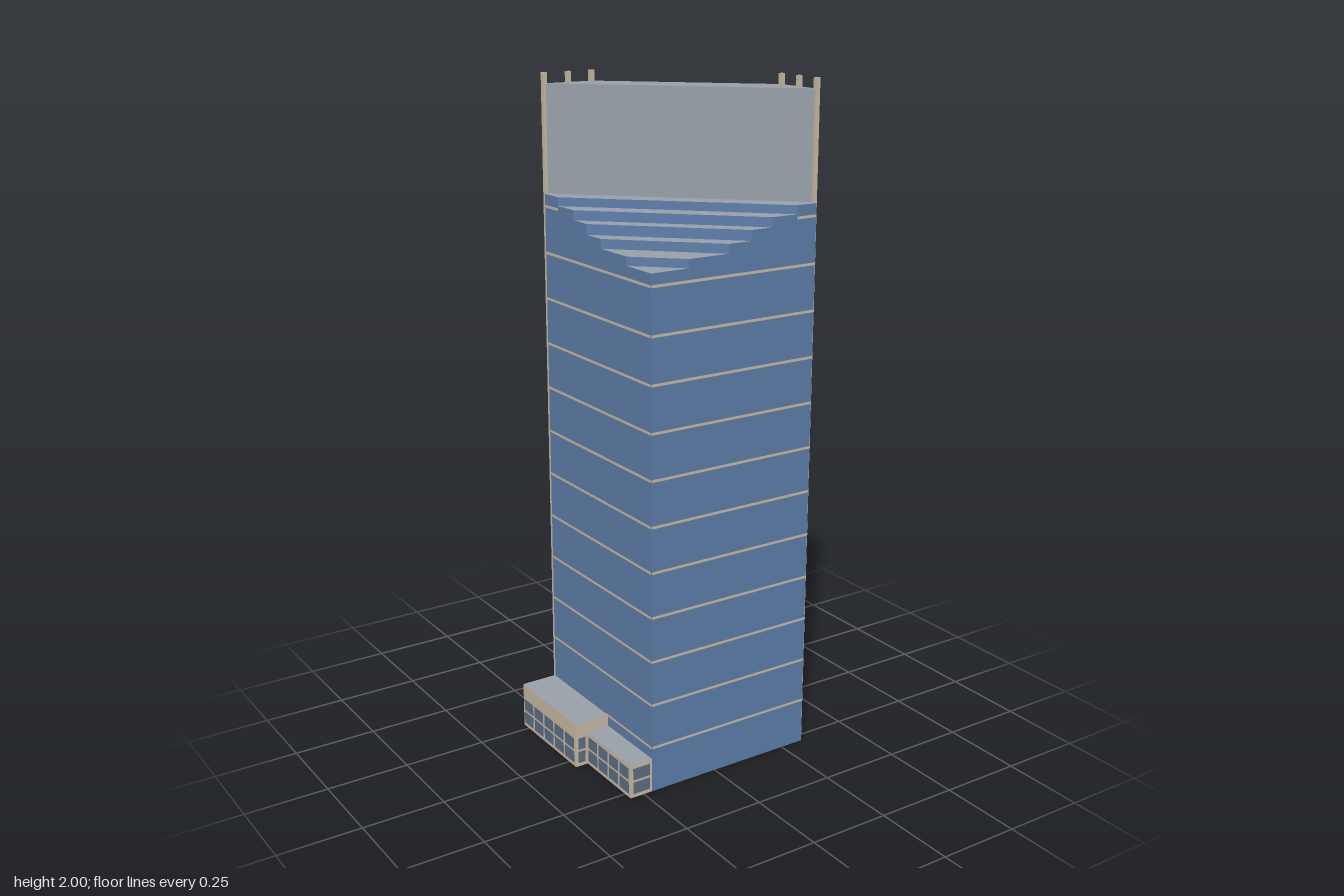
import * as THREE from 'three';

const mat = (name, color, side = THREE.DoubleSide) => {
  const m = new THREE.MeshStandardMaterial({ color, side });
  m.name = name;
  return m;
};

export function createModel() {
  const glass = mat('blue glass', 0x5f80ad);
  const grey = mat('roof grey', 0x9aa1aa);
  const beige = mat('beige stone', 0xcbbca5);
  const dark = mat('window slate', 0x5d6f88);
  const model = new THREE.Group();
  model.name = 'tower';

  // Flat faces are collected per part, then turned into one mesh each
  const parts = {};
  const face = (name, material, pts) => {
    const p = (parts[name] ??= { material, pos: [] }).pos;
    for (let i = 1; i < pts.length - 1; i++) p.push(...pts[0], ...pts[i], ...pts[i + 1]);
  };
  // Upright face over the ground line a-b, where a and b are [x, z]
  const wall = (name, material, a, b, y0, y1) =>
    face(name, material, [[a[0], y0, a[1]], [b[0], y0, b[1]], [b[0], y1, b[1]], [a[0], y1, a[1]]]);

  // Tower footprint, cut into diagonal strips by the value z - x
  const X0 = -0.222, X1 = 0.325, Z0 = -0.275, Z1 = 0.28;
  const cuts = [0.502, 0.382, 0.252, 0.177, 0.107, 0.022, -0.06, -0.215, -0.285, -0.35, -0.41, -0.475, -0.54, -0.6];
  const heights = [1.525, 1.55, 1.577, 1.607, 1.635, 1.66, 1.97, 1.83, 1.8, 1.718, 1.686, 1.606, 1.577];
  const SLAB = 6;
  const clip = (poly, dist) => {
    const out = [];
    poly.forEach((a, i) => {
      const b = poly[(i + 1) % poly.length], da = dist(a), db = dist(b);
      if (da >= 0) out.push(a);
      if (da * db < 0) {
        const t = da / (da - db);
        out.push([a[0] + (b[0] - a[0]) * t, a[1] + (b[1] - a[1]) * t]);
      }
    });
    return out;
  };
  const near = (u, v) => Math.abs(u - v) < 1e-5;

  heights.forEach((h, i) => {
    const slab = i === SLAB;
    let poly = [[X0, Z0], [X0, Z1], [X1, Z1], [X1, Z0]];
    poly = clip(poly, p => cuts[i] - (p[1] - p[0]));
    poly = clip(poly, p => p[1] - p[0] - cuts[i + 1]);
    face(slab ? 'crownTop' : 'roofSteps', grey, poly.map(p => [p[0], h, p[1]]));

    poly.forEach((a, k) => {
      const b = poly[(k + 1) % poly.length];
      const onX = near(a[0], b[0]), onZ = near(a[1], b[1]);
      if (onX || onZ) {
        // Outer wall; the left one starts above the annex roof
        const left = onX && near(a[0], X0);
        const y0 = left ? ((a[1] + b[1]) / 2 < 0.04 ? 0.14 : 0.105) : 0;
        wall(slab ? 'corePanels' : 'glassWalls', slab ? grey : glass, a, b, y0, h);
        if (slab) return;
        // Thin floor bands
        const dx = onX ? (left ? -0.0015 : 0.0015) : 0;
        const dz = onZ ? (near(a[1], Z0) ? -0.0015 : 0.0015) : 0;
        const off = p => [p[0] + dx, p[1] + dz];
        for (let y = 0.14; y < h - 0.01; y += 0.135)
          if (y > y0 + 0.005) wall('floorBands', beige, off(a), off(b), y - 0.004, y + 0.004);
      } else if (near(a[1] - a[0], cuts[i + 1]) && i < heights.length - 1) {
        // Diagonal riser up to the next strip
        const n = heights[i + 1], crown = slab || i + 1 === SLAB;
        wall(crown ? 'crownWalls' : 'stepRisers', crown ? grey : glass, a, b, Math.min(h, n), Math.max(h, n));
      }
    });
  });

  // Low annex on the left of the tower: walls, roofs and two rows of windows
  const windows = (a, b, n) => {
    const len = Math.hypot(b[0] - a[0], b[1] - a[1]);
    const ux = (b[0] - a[0]) / len, uz = (b[1] - a[1]) / len;
    const at = s => [a[0] + ux * s - uz * 0.0015, a[1] + uz * s + ux * 0.0015];
    const pitch = (len - 0.008) / n;
    for (let k = 0; k < n; k++)
      for (const y of [0.012, 0.056]) {
        const s = 0.004 + k * pitch;
        wall('annexWindows', dark, at(s + 0.004), at(s + pitch - 0.004), y, y + 0.037);
      }
  };
  const annex = (x, z0, z1, h) => {
    wall('annexWalls', beige, [X0, z0], [x, z0], 0, h);
    wall('annexWalls', beige, [x, z0], [x, z1], 0, h);
    face('annexRoof', grey, [[x, h, z0], [x, h, z1], [X0, h, z1], [X0, h, z0]]);
  };
  const BX = -0.335, FX = -0.295, ZB = -0.279, ZM = 0.04;
  annex(BX, ZB, ZM, 0.14);
  wall('annexWalls', beige, [BX, ZM], [FX, ZM], 0, 0.14);
  wall('annexWalls', beige, [FX, ZM], [X0, ZM], 0.105, 0.14);
  wall('annexWalls', beige, [FX, ZM], [FX, Z1], 0, 0.105);
  wall('annexWalls', beige, [FX, Z1], [X0, Z1], 0, 0.105);
  face('annexRoof', grey, [[FX, 0.105, ZM], [FX, 0.105, Z1], [X0, 0.105, Z1], [X0, 0.105, ZM]]);
  // Window lines run so that their outer side is on the right-hand normal
  windows([BX, ZM], [FX, ZM], 1);
  windows([FX, Z1], [X0, Z1], 1);
  windows([BX, ZB], [BX, ZM], 5);
  windows([FX, ZM], [FX, Z1], 4);
  windows([X0, ZB], [BX, ZB], 2);

  for (const [name, { material, pos }] of Object.entries(parts)) {
    const g = new THREE.BufferGeometry();
    g.setAttribute('position', new THREE.Float32BufferAttribute(pos, 3));
    g.computeVertexNormals();
    const m = new THREE.Mesh(g, material);
    m.name = name;
    model.add(m);
  }

  // Square masts beside the core panels, at the back and on the right
  const mast = new THREE.BoxGeometry(0.013, 2, 0.013);
  const masts = [-0.215, -0.137, -0.06].map(x => [x, -0.279])
    .concat([0.107, 0.185, 0.263].map(z => [0.328, z]));
  for (const [x, z] of masts) {
    const m = new THREE.Mesh(mast, beige);
    m.name = 'mast';
    m.position.set(x, 1, z);
    model.add(m);
  }
  return model;
}
